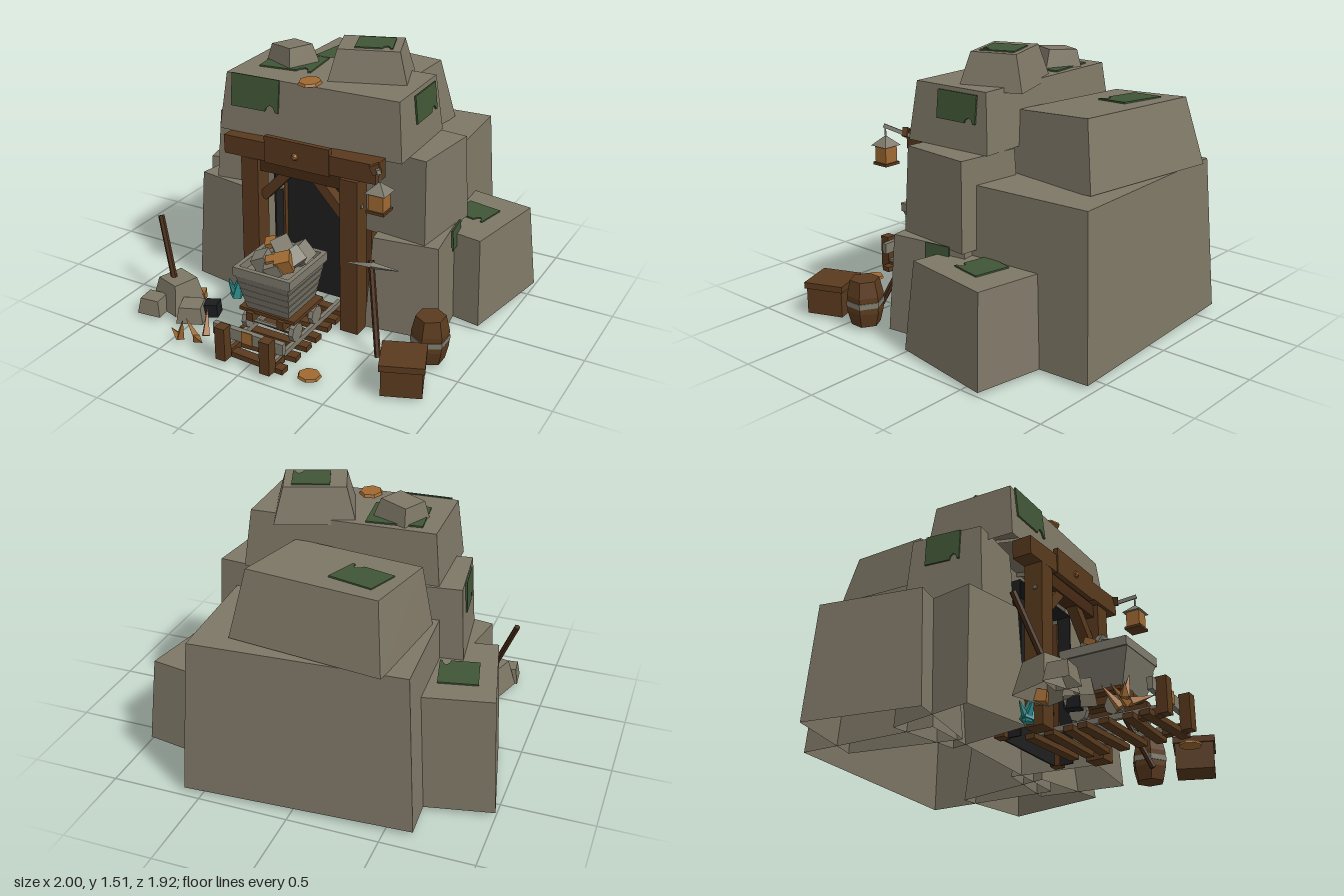
import * as THREE from 'three';

const mat = (name, color, side = THREE.FrontSide) =>
  Object.assign(new THREE.MeshStandardMaterial({ color, side }), { name });

export function createModel() {
  const root = new THREE.Group();
  root.name = 'mineEntrance';
  const rockM = mat('rock', 0x7e7766, THREE.DoubleSide), wood = mat('wood', 0x5a3a1e), darkWood = mat('darkWood', 0x472a14);
  const metal = mat('metal', 0x7f7b6d), ore = mat('copperOre', 0xa06a32), moss = mat('moss', 0x405636);
  const dark = mat('tunnelDark', 0x1f1f1f, THREE.DoubleSide), teal = mat('crystal', 0x2f9090), coal = mat('coal', 0x1b1c1e);

  // flat-faced mesh placed in a parent
  const add = (name, geo, m, [x, y, z], [rx, ry, rz] = [0, 0, 0], parent = root) => {
    const g = geo.index ? geo.toNonIndexed() : geo;
    g.computeVertexNormals();
    const mesh = new THREE.Mesh(g, m);
    mesh.name = name;
    mesh.position.set(x, y, z);
    mesh.rotation.set(rx, ry, rz, 'YXZ');
    parent.add(mesh);
    return mesh;
  };
  // box standing on its base, top face pulled in by an inset on each side
  const taperBox = (w, h, d, inset = 0) => {
    const g = new THREE.BoxGeometry(w, h, d).translate(0, h / 2, 0), p = g.attributes.position;
    for (let i = 0; i < p.count; i++) {
      if (p.getY(i) > h / 2) {
        p.setX(i, p.getX(i) * (1 - 2 * inset / w));
        p.setZ(i, p.getZ(i) * (1 - 2 * inset / d));
      }
    }
    return g;
  };
  const box = (name, m, w, h, d, pos, rot, parent) => add(name, new THREE.BoxGeometry(w, h, d), m, pos, rot, parent);
  // hollow boulder, open underneath
  const rock = (name, pos, [w, h, d], ry, inset, rx = 0, rz = 0) => {
    const g = taperBox(w, h, d, inset), idx = Array.from(g.index.array);
    idx.splice(18, 6); // bottom face
    g.setIndex(idx);
    return add(name, g, rockM, pos, [rx, ry, rz]);
  };
  // round bar between two points
  const bar = (name, m, a, b, r0, r1 = r0, sides = 6, parent = root) => {
    const A = new THREE.Vector3(...a), B = new THREE.Vector3(...b), dir = B.clone().sub(A);
    const mesh = add(name, new THREE.CylinderGeometry(r1, r0, dir.length(), sides), m,
      A.clone().add(B).multiplyScalar(0.5).toArray(), undefined, parent);
    mesh.quaternion.setFromUnitVectors(new THREE.Vector3(0, 1, 0), dir.normalize());
    return mesh;
  };

  // hill of stacked boulders
  rock('backLowerBoulder', [0, 0.02, -0.53], [1.25, 0.86, 0.8], 0.055, 0.05);
  rock('backUpperBoulder', [-0.085, 0.86, -0.54], [0.85, 0.365, 0.62], -0.13, 0.06, 0.08);
  rock('leftSideBoulder', [0.71, 0.02, -0.35], [0.48, 0.49, 0.61], -0.17, 0.04);
  rock('rightSideBoulder', [-0.685, 0.02, -0.34], [0.5, 0.645, 0.645], 0.215, 0.035);
  rock('rightFrontBoulder', [-0.53, 0.02, 0.015], [0.42, 0.645, 0.5], -0.16, 0.03);
  rock('leftFrontBoulder', [0.53, 0.02, 0.015], [0.42, 0.535, 0.51], 0.14, 0.03);
  rock('rightMiddleBoulder', [-0.47, 0.65, -0.04], [0.4, 0.41, 0.45], 0.13, 0.025);
  rock('leftMiddleBoulder', [0.485, 0.545, -0.035], [0.4, 0.475, 0.46], -0.1, 0.02);
  rock('topBoulder', [0, 1.02, 0.03], [1.08, 0.315, 0.54], 0.035, 0.035);
  rock('capBoulder', [0.185, 1.31, -0.075], [0.43, 0.19, 0.35], 0.35, 0.05);
  rock('capStone', [-0.28, 1.33, -0.04], [0.22, 0.105, 0.2], -0.42, 0.025, 0, 0.07);

  // thin moss sheets with a worn notch in the lower edge: width, height, position, rotation
  const up = -Math.PI / 2;
  [
    [0.3, 0.26, [-0.26, 1.334, -0.025], [up, 0.12, 0]],
    [0.2, 0.19, [0.205, 1.498, -0.085], [up, 0.35, 0]],
    [0.25, 0.21, [-0.25, 1.225, -0.565], [up + 0.08, -0.25, 0]],
    [0.21, 0.22, [-0.71, 0.664, -0.37], [up, 0.215, 0]],
    [0.2, 0.18, [0.705, 0.509, -0.375], [up, -0.2, 0]],
    [0.29, 0.18, [-0.315, 1.25, 0.288], [-0.11, 0.035, 0]],
    [0.26, 0.15, [0.519, 1.24, -0.045], [-0.11, Math.PI / 2 + 0.035, 0]],
    [0.2, 0.17, [-0.652, 0.975, -0.03], [-0.06, 0.13 - Math.PI / 2, 0]],
    [0.15, 0.12, [0.711, 0.5, -0.075], [-0.056, Math.PI / 2 + 0.14, 0]],
  ].forEach(([w, h, p, r]) => {
    const s = new THREE.Shape([[-0.5, -0.5], [0.22, -0.5], [0.25, -0.38], [0.33, -0.3], [0.4, -0.36], [0.44, -0.5],
      [0.5, -0.5], [0.5, 0.5], [-0.5, 0.5]].map(([x, y]) => new THREE.Vector2(x * w, y * h)));
    add('mossPatch', new THREE.ExtrudeGeometry(s, { depth: 0.009, bevelEnabled: false }), moss, p, r);
  });

  // tunnel back, roof and walls, then the timber portal
  box('tunnelBack', dark, 0.5, 0.88, 0.01, [0, 0.46, 0.09]);
  box('tunnelRoof', dark, 0.52, 0.01, 0.11, [0, 0.895, 0.145]);
  for (const s of [-1, 1]) {
    box('tunnelWall', dark, 0.01, 0.88, 0.08, [s * 0.262, 0.46, 0.16]);
    box('portalPost', wood, 0.105, 0.9, 0.105, [s * 0.305, 0.465, 0.335], [0, 0, s * 0.01]);
    box('innerPost', wood, 0.06, 0.84, 0.06, [s * 0.275, 0.44, 0.095]);
    box('portalBrace', wood, 0.24, 0.055, 0.06, [s * 0.165, 0.775, 0.32], [0, 0, -s * 0.82]);
    box('postNail', metal, 0.008, 0.02, 0.02, [s * 0.362, 0.77, 0.35]);
  }
  box('innerLintel', darkWood, 0.52, 0.075, 0.08, [0, 0.88, 0.32]);
  box('lintel', wood, 0.92, 0.105, 0.11, [0, 0.975, 0.335], [0, -0.01, 0.02]);
  box('lintelPlate', wood, 0.39, 0.15, 0.03, [-0.005, 0.99, 0.38]);
  add('lintelNugget', new THREE.IcosahedronGeometry(0.022, 0), ore, [-0.01, 0.985, 0.397]);

  // hanging lantern
  const lantern = new THREE.Group();
  lantern.name = 'lantern';
  lantern.position.set(0.53, 0, 0.485);
  root.add(lantern);
  bar('lanternArm', metal, [-0.08, 1.0, -0.13], [0, 1.055, 0.01], 0.015, 0.015, 4, lantern);
  box('armPlate', wood, 0.05, 0.05, 0.03, [-0.07, 1.02, -0.09], [0, 0.4, 0.4], lantern);
  bar('lanternHook', metal, [0, 0.98, 0], [0, 1.06, 0], 0.006, 0.006, 4, lantern);
  add('lanternRoof', new THREE.ConeGeometry(0.08, 0.055, 4), metal, [0, 0.975, 0], [0, Math.PI / 4, 0], lantern);
  box('lanternGlass', ore, 0.082, 0.095, 0.082, [0, 0.902, 0], undefined, lantern);
  box('lanternBase', wood, 0.1, 0.015, 0.1, [0, 0.848, 0], undefined, lantern);

  // track with sleepers and end stop
  [0.23, 0.33, 0.43, 0.53, 0.64, 0.76, 0.87].forEach((z, i) =>
    box('sleeper', wood, 0.42, 0.03, 0.055, [0, 0.03, z], [0, (i % 3 - 1) * 0.05, 0]));
  for (const s of [-1, 1]) {
    box('rail', metal, 0.022, 0.03, 0.7, [s * 0.145, 0.06, 0.55]);
    box('stopPost', wood, 0.06, 0.19, 0.06, [s * 0.135, 0.12, 0.93]);
    box('stopFoot', wood, 0.05, 0.04, 0.12, [s * 0.135, 0.04, 0.86]);
  }
  box('stopBar', metal, 0.42, 0.065, 0.03, [0, 0.165, 0.89], [0, 0.02, -0.03]);
  box('rustPatch', ore, 0.065, 0.07, 0.006, [0, 0.168, 0.908]);

  // mine cart: flared stacked plates, rim, chassis, wheels
  const cart = new THREE.Group();
  cart.name = 'mineCart';
  cart.position.set(0, 0, 0.57);
  root.add(cart);
  for (let i = 0; i < 5; i++) {
    const w = 0.25 + i * 0.013;
    add('cartPanel', taperBox(w, 0.045, w + 0.02 + i * 0.008, -0.013), metal, [0, 0.21 + i * 0.042, 0], undefined, cart);
  }
  box('chassisPlank', wood, 0.34, 0.02, 0.3, [0, 0.205, 0], undefined, cart);
  for (const s of [-1, 1]) {
    box('cartRim', metal, 0.025, 0.05, 0.38, [s * 0.161, 0.445, 0], undefined, cart);
    box('cartRim', metal, 0.347, 0.05, 0.025, [0, 0.445, s * 0.18], undefined, cart);
    box('chassisBeam', wood, 0.04, 0.05, 0.34, [s * 0.095, 0.18, 0], undefined, cart);
    bar('axle', metal, [-0.15, 0.12, s * 0.1], [0.15, 0.12, s * 0.1], 0.012, 0.012, 6, cart);
    for (const x of [-0.145, 0.145])
      bar('wheel', metal, [x - 0.014, 0.125, s * 0.1], [x + 0.014, 0.125, s * 0.1], 0.052, 0.052, 8, cart);
  }
  // load of stone and ore blocks: x, y, z, size, turn
  [[-0.07, 0.47, -0.08, 0.1, 0.3], [0.07, 0.48, -0.09, 0.1, 0.9], [0, 0.52, -0.03, 0.1, 0.5],
    [-0.07, 0.47, 0.06, 0.09, 1.1], [0.02, 0.47, 0.1, 0.08, 0.2], [0.08, 0.5, 0, 0.09, 0.7]].forEach(([x, y, z, s, r]) =>
    box('stoneLoad', metal, s, s * 0.9, s, [x, y, z], [r, r * 2, 0.4], cart));
  [[-0.09, 0.51, -0.06, 0.06], [0.065, 0.5, 0.07, 0.085], [0, 0.5, 0.09, 0.05]].forEach(([x, y, z, s]) =>
    box('oreLoad', ore, s, s, s, [x, y, z], [0.3, 0.5, 0.3], cart));

  // barrel
  const barrel = [[0, 0], [0.08, 0], [0.1, 0.08], [0.1, 0.17], [0.08, 0.255], [0, 0.255]].map(p => new THREE.Vector2(...p));
  add('barrel', new THREE.LatheGeometry(barrel, 6), wood, [0.795, 0.02, 0.4]);
  add('barrelBand', new THREE.CylinderGeometry(0.104, 0.104, 0.03, 6), metal, [0.795, 0.145, 0.4]);

  // crate with lid
  box('crate', wood, 0.21, 0.15, 0.21, [0.78, 0.092, 0.685], [0, 0.38, 0]);
  box('crateLid', wood, 0.23, 0.035, 0.23, [0.78, 0.182, 0.685], [0, 0.38, 0]);

  // pickaxe leaning by the portal
  bar('pickHandle', darkWood, [0.56, 0.02, 0.53], [0.42, 0.47, 0.35], 0.017);
  const pick = [0.435, 0.455, 0.37];
  bar('pickHeadTip', metal, pick, [0.3, 0.455, 0.405], 0.02, 0.003, 4);
  bar('pickHeadTip', metal, pick, [0.58, 0.45, 0.35], 0.02, 0.003, 4);

  // rubble heap with a planted tool handle
  rock('rubbleLarge', [-0.67, 0.02, 0.59], [0.22, 0.165, 0.22], -0.3, 0.035);
  rock('rubbleRight', [-0.745, 0.02, 0.72], [0.14, 0.09, 0.13], 0.1, 0.015);
  rock('rubbleLeft', [-0.515, 0.02, 0.68], [0.15, 0.09, 0.15], 0.4, 0.015);
  bar('toolHandle', darkWood, [-0.67, 0.12, 0.61], [-0.825, 0.5, 0.51], 0.018);
  box('coalLump', coal, 0.08, 0.075, 0.08, [-0.435, 0.06, 0.6], [0, 0.3, 0.1]);
  box('oreLump', ore, 0.06, 0.06, 0.06, [-0.58, 0.055, 0.51], [0.1, 0.4, 0]);

  // copper shards: base to tip
  [[[-0.34, 0.02, 0.8], [-0.38, 0.14, 0.72]], [[-0.36, 0.02, 0.85], [-0.46, 0.1, 0.81]],
    [[-0.36, 0.03, 0.86], [-0.26, 0.08, 0.94]], [[-0.45, 0.02, 0.88], [-0.42, 0.14, 0.89]],
    [[-0.46, 0.02, 0.88], [-0.49, 0.08, 0.9]]].forEach(([a, b]) => bar('copperShard', ore, a, b, 0.026, 0.001, 4));
  // teal crystals beside the portal
  [[[-0.4, 0.18, 0.36], 0.04], [[-0.5, 0.1, 0.34], 0.025], [[-0.46, 0.12, 0.4], 0.03]].forEach(([tip, r]) =>
    bar('tealCrystal', teal, [-0.445, 0.012, 0.35], tip, r, 0.003, 5));

  // flat ore flakes, one on the hill and one on the ground
  [[-0.02, 1.342, 0.22, 0.065, 0.08], [0.335, 0.026, 0.85, 0.065, 0.06]].forEach(([x, y, z, rx, rz]) =>
    add('oreFlake', new THREE.CylinderGeometry(0.9, 1, 0.014, 7).scale(rx, 1, rz), ore, [x, y, z], [0, 0.2, 0]));
  return root;
}
